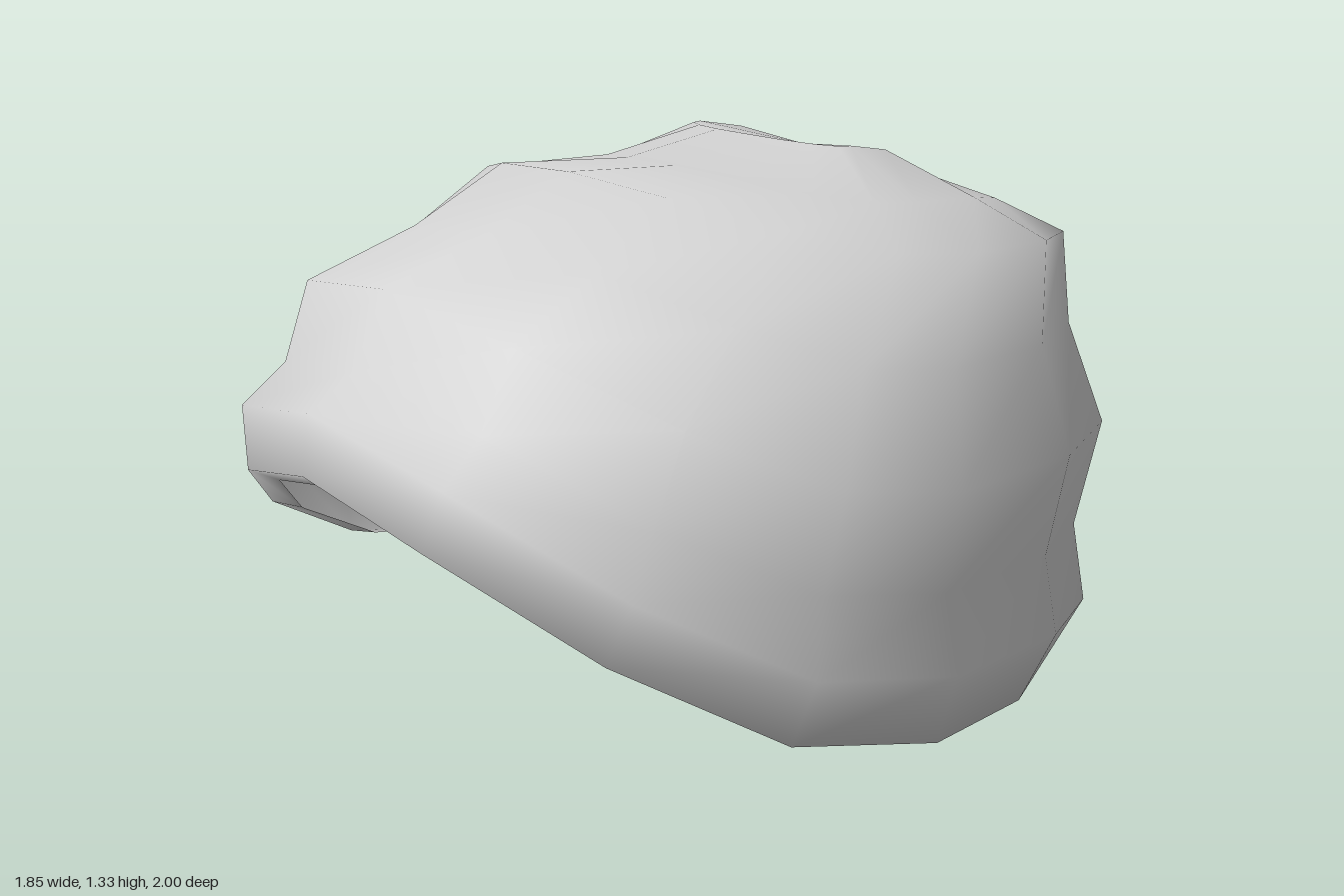
import * as THREE from 'three';
import { mergeVertices } from 'three/addons/utils/BufferGeometryUtils.js';

const SEGMENTS = 16;

// Quarter-ring plan, from the centre line round to the side
const ALONG = [1, 0.94, 0.715, 0.38, 0];
const HEM = [0, 0.385, 0.722, 0.93, 1];
const FULL = [0, 0.42, 0.76, 0.955, 1];

// Each ring: side half-width, side [y, z], front [y, z], back [y, z], plan of the width
const ring = (x, side, front, back, across = FULL) => ({ x, side, front, back, across });

const rings = [
  ring(0.8, [0.2, 0.04], [0.715, 0.94], [0.04, -0.79], HEM), // turned-in edge of the opening
  ring(0.89, [0.18, 0.04], [0.75, 1.0], [0.0, -0.85], HEM), // outer edge of the opening
  ring(0.925, [0.34, 0.03], [0.88, 0.98], [0.18, -0.955]),
  ring(0.885, [0.51, 0.02], [0.95, 0.87], [0.38, -0.93]),
  ring(0.92, [0.74, 0.03], [1.11, 0.79], [0.65, -1.0]),
  ring(0.79, [0.95, -0.08], [1.19, 0.53], [0.88, -0.93]),
  ring(0.695, [1.155, -0.25], [1.3, 0.31], [1.07, -0.935]),
  ring(0.47, [1.225, -0.3], [1.28, 0.0], [1.12, -0.85]),
  ring(0.26, [1.325, -0.3], [1.33, -0.22], [1.17, -0.63]),
  ring(0, [1.29, -0.4], [1.29, -0.4], [1.29, -0.4]), // crown centre
];

function ringPoint(r, i) {
  const half = i <= 8 ? i : SEGMENTS - i; // steps from the front, mirrored
  const step = half <= 4 ? half : 8 - half; // steps from the centre line
  const end = half <= 4 ? r.front : r.back;
  const rise = Math.cos((step / 8) * Math.PI) ** 2;
  return [
    (i <= 8 ? 1 : -1) * r.x * r.across[step],
    r.side[0] + (end[0] - r.side[0]) * rise,
    r.side[1] + (end[1] - r.side[1]) * ALONG[step],
  ];
}

// Skin the rings in order with smooth normals
function skin() {
  const positions = [], index = [];
  rings.forEach((r, j) => {
    for (let i = 0; i < SEGMENTS; i++) {
      positions.push(...ringPoint(r, i));
      if (j === rings.length - 1) continue;
      const n = (i + 1) % SEGMENTS;
      const a = j * SEGMENTS + i, b = j * SEGMENTS + n;
      index.push(a, b, b + SEGMENTS, a, b + SEGMENTS, a + SEGMENTS);
    }
  });
  const raw = new THREE.BufferGeometry();
  raw.setAttribute('position', new THREE.Float32BufferAttribute(positions, 3));
  raw.setIndex(index);
  const geometry = mergeVertices(raw, 1e-4);
  geometry.computeVertexNormals();
  return geometry;
}

export function createModel() {
  const group = new THREE.Group();
  group.name = 'knitCap';
  const cloth = new THREE.MeshStandardMaterial({ color: 0xd2d2d2, side: THREE.DoubleSide });
  cloth.name = 'light grey cloth';

  // Open cap with its turned-in hem, seen from both sides
  const cap = new THREE.Mesh(skin(), cloth);
  cap.name = 'cap';
  group.add(cap);
  return group;
}
